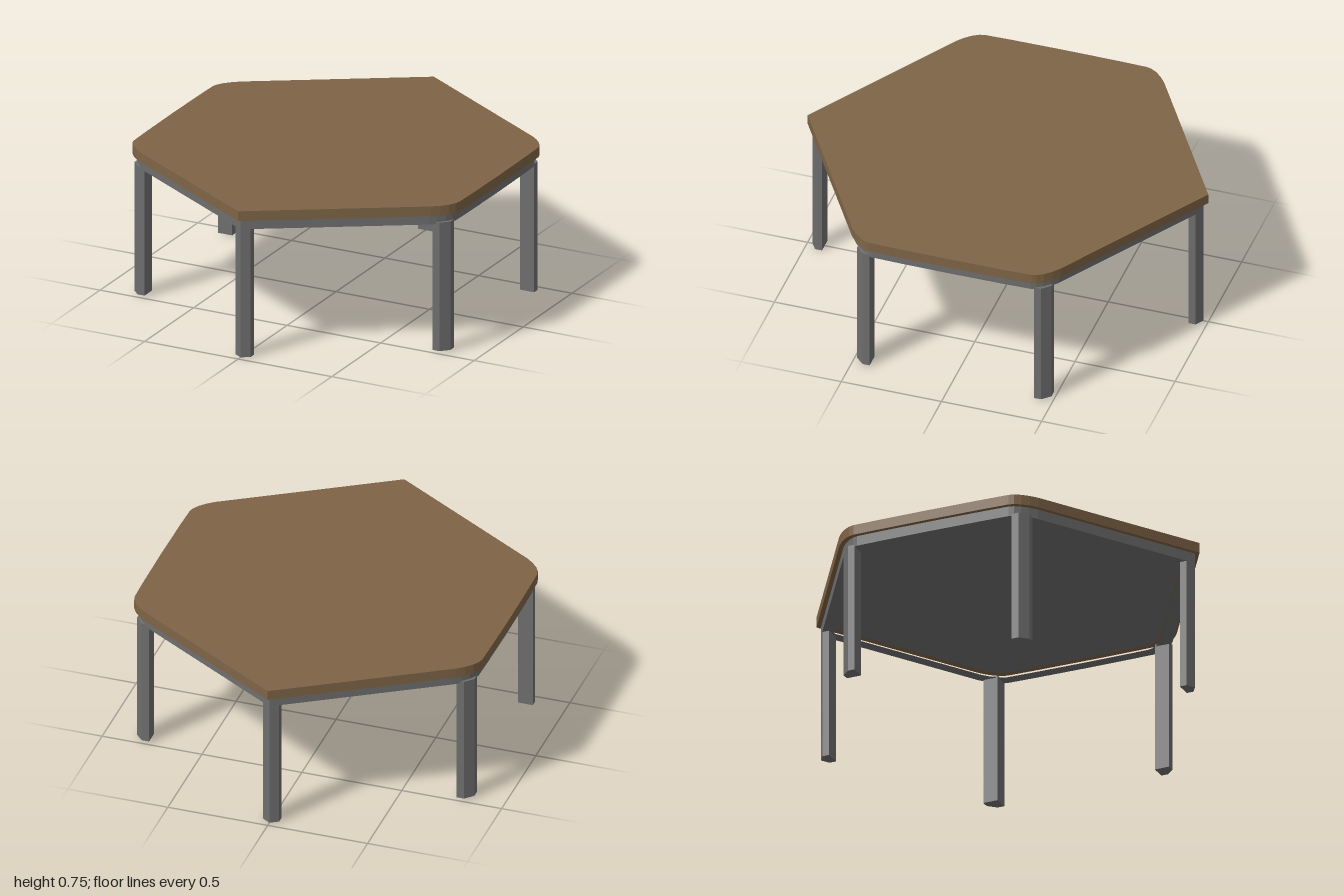
import * as THREE from 'three';

// Hexagon with pointed front and back and rounded side corners
function outline(scale, Type = THREE.Shape) {
  const s = new Type();
  const corner = [[0.78, 0.52], [0.815, 0.492], [0.845, 0.46], [0.863, 0.43], [0.87, 0.405], [0.873, 0.27], [0.875, 0]];
  const back = corner.slice(0, -1).reverse().map(([x, z]) => [x, -z]);
  const right = [[0, 1], ...corner, ...back];
  const left = right.map(([x, z]) => [-x, -z]);
  s.setFromPoints([...right, ...left].map(([x, z]) => new THREE.Vector2(x * scale, z * scale)));
  s.closePath();
  return s;
}

// Extrude a plan shape (x, z) upward from y0 to y1
function slab(name, shape, y0, y1, material) {
  const geo = new THREE.ExtrudeGeometry(shape, { depth: y1 - y0, bevelEnabled: false });
  geo.rotateX(-Math.PI / 2);
  geo.translate(0, y0, 0);
  const mesh = new THREE.Mesh(geo, material);
  mesh.name = name;
  return mesh;
}

export function createModel() {
  const group = new THREE.Group();
  group.name = 'hexagonalTable';
  const wood = new THREE.MeshStandardMaterial({ color: 0x7e6446 });
  wood.name = 'brownWood';
  const metal = new THREE.MeshStandardMaterial({ color: 0x6e6e6e });
  metal.name = 'greyMetal';

  // Table top
  group.add(slab('tableTop', outline(1), 0.70, 0.75, wood));

  // Apron ring under the top, with a recessed panel inside it
  const ring = outline(0.975);
  ring.holes.push(outline(0.907, THREE.Path));
  group.add(slab('apron', ring, 0.65, 0.70, metal));
  group.add(slab('undersidePanel', outline(0.91), 0.675, 0.699, metal));

  // Legs follow the corners: pointed at front and back, chamfered at the sides
  const pointed = [[-0.04, 0.915], [0.04, 0.915], [0.04, 0.95], [0, 0.975], [-0.04, 0.95]];
  const chamfered = [[0.77, 0.41], [0.845, 0.41], [0.845, 0.445], [0.807, 0.485], [0.77, 0.485]];
  const leg = (name, pts, sx, sz, y0) => {
    const shape = new THREE.Shape(pts.map(([x, z]) => new THREE.Vector2(x * sx, -z * sz)));
    group.add(slab(name, shape, y0, 0.66, metal));
  };
  for (const sz of [1, -1]) {
    const end = sz > 0 ? 'front' : 'back';
    leg(end + 'Leg', pointed, 1, sz, 0);
    for (const sx of [1, -1]) leg(end + (sx > 0 ? 'Left' : 'Right') + 'Leg', chamfered, sx, sz, 0.008);
  }
  return group;
}
